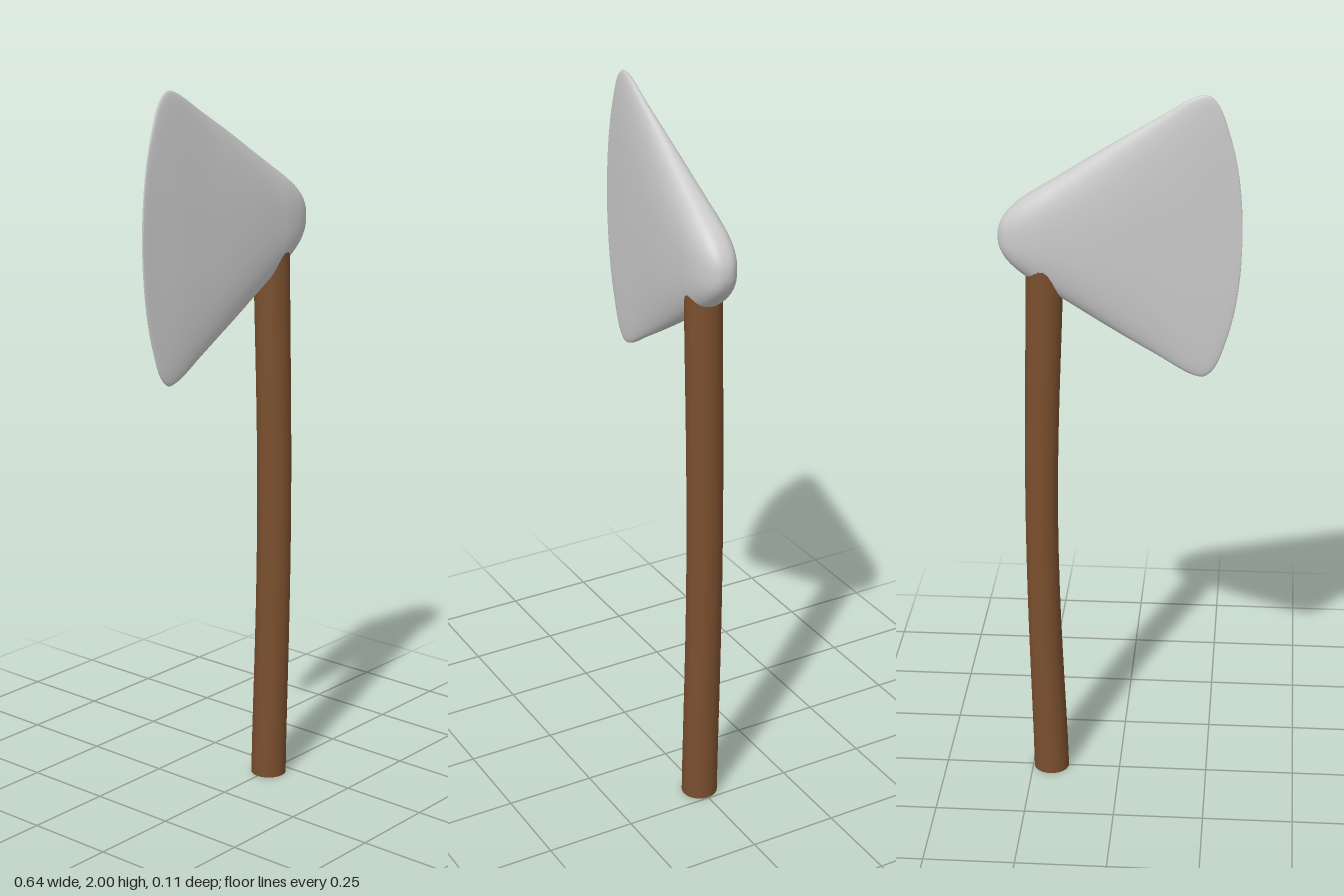
import * as THREE from 'three';

const HEAD_Y = 1.616;

// Axe head: rounded cross-sections lofted along x from cutting edge to poll
function makeHead() {
  // x, half height, half thickness
  const profile = new THREE.CatmullRomCurve3([
    [-0.32, 0, 0.002], [-0.316, 0.1, 0.003], [-0.303, 0.2, 0.005], [-0.28, 0.29, 0.008],
    [-0.252, 0.36, 0.012], [-0.225, 0.384, 0.016], [-0.19, 0.378, 0.021], [-0.1, 0.325, 0.032],
    [0, 0.265, 0.044], [0.09, 0.208, 0.052], [0.17, 0.157, 0.056], [0.21, 0.132, 0.057],
    [0.265, 0.094, 0.051], [0.3, 0.058, 0.037], [0.316, 0.026, 0.018], [0.32, 0, 0],
  ].map((p) => new THREE.Vector3(...p)));
  const rings = 72, sides = 48, power = 2 / 2.5;
  const soften = (v) => Math.sign(v) * Math.abs(v) ** power;
  const positions = [], index = [];
  for (let i = 0; i <= rings; i++) {
    const p = profile.getPoint(i / rings);
    for (let j = 0; j < sides; j++) {
      const a = (j / sides) * Math.PI * 2;
      positions.push(p.x, HEAD_Y + p.y * soften(Math.cos(a)), p.z * soften(Math.sin(a)));
      if (i === rings) continue;
      const k = (j + 1) % sides;
      const [a0, b0, a1, b1] = [i * sides + j, i * sides + k, (i + 1) * sides + j, (i + 1) * sides + k];
      index.push(a0, b0, a1, b0, b1, a1);
    }
  }
  const geometry = new THREE.BufferGeometry();
  geometry.setAttribute('position', new THREE.Float32BufferAttribute(positions, 3));
  geometry.setIndex(index);
  geometry.computeVertexNormals();
  const head = new THREE.Mesh(geometry, new THREE.MeshStandardMaterial({ color: 0xcccccc }));
  head.name = 'axeHead';
  return head;
}

// Handle: a cylinder bowed gently sideways and slimmer in the middle
function makeHandle() {
  const height = 1.56;
  const geometry = new THREE.CylinderGeometry(0.05, 0.05, height, 24, 16);
  geometry.translate(0, height / 2, 0);
  const pos = geometry.attributes.position;
  for (let i = 0; i < pos.count; i++) {
    const bow = Math.sin((pos.getY(i) / height) * Math.PI) ** 1.3 || 0;
    pos.setX(i, pos.getX(i) * (1 - 0.1 * bow) + 0.197 + 0.018 * bow);
  }
  const handle = new THREE.Mesh(geometry, new THREE.MeshStandardMaterial({ color: 0x7a4f2e }));
  handle.name = 'handle';
  return handle;
}

export function createModel() {
  const axe = new THREE.Group();
  axe.name = 'axe';
  axe.add(makeHead(), makeHandle());
  return axe;
}
